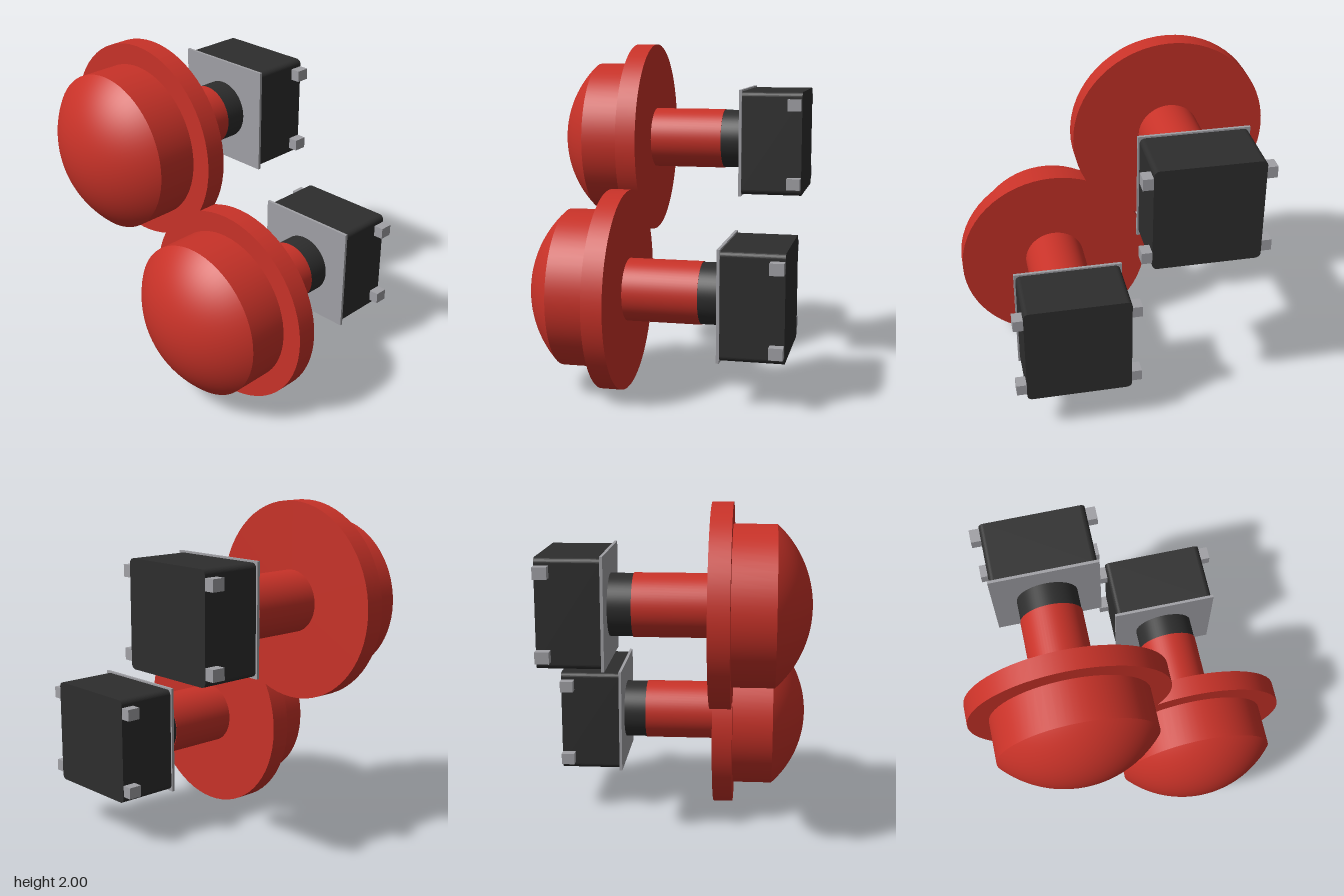
import * as THREE from 'three';

export function createModel() {
  const material = (name, color) => {
    const m = new THREE.MeshStandardMaterial({ color });
    m.name = name;
    return m;
  };
  const red = material('red plastic', 0xc83228);
  const black = material('black plastic', 0x2d2d2d);
  const grey = material('grey metal', 0xa0a0a5);

  const add = (group, name, geometry, mat) => {
    const mesh = new THREE.Mesh(geometry, mat);
    mesh.name = name;
    group.add(mesh);
    return mesh;
  };

  // cylinder lying along z, from z0 to z1
  const rod = (radius, z0, z1, open = false) =>
    new THREE.CylinderGeometry(radius, radius, z1 - z0, 64, 1, open)
      .rotateX(Math.PI / 2).translate(0, 0, (z0 + z1) / 2);

  // rectangle with rounded corners, extruded from z0 to z1
  const roundedBlock = (w, h, r, z0, z1) => {
    const x = w / 2 - r, y = h / 2 - r;
    const s = new THREE.Shape();
    s.absarc(x, y, r, 0, Math.PI / 2);
    s.absarc(-x, y, r, Math.PI / 2, Math.PI);
    s.absarc(-x, -y, r, Math.PI, Math.PI * 1.5);
    s.absarc(x, -y, r, Math.PI * 1.5, Math.PI * 2);
    return new THREE.ExtrudeGeometry(s, { depth: z1 - z0, bevelEnabled: false, curveSegments: 6 })
      .translate(0, 0, z0);
  };

  const createButton = (name, x, y) => {
    const button = new THREE.Group();
    button.name = name;
    button.position.set(x, y, 0);

    // push cap: straight wall closed by a shallow dome
    const capRadius = 0.4625, wallEnd = 0.555, rise = 0.205;
    const sphereRadius = (capRadius ** 2 + rise ** 2) / (2 * rise);
    add(button, 'capWall', rod(capRadius, 0.31, wallEnd, true), red);
    add(button, 'capDome',
      new THREE.SphereGeometry(sphereRadius, 64, 20, 0, Math.PI * 2, 0, Math.asin(capRadius / sphereRadius))
        .rotateX(Math.PI / 2).translate(0, 0, wallEnd + rise - sphereRadius), red);

    // flange and stem
    add(button, 'flange', rod(0.585, 0.19, 0.31), red);
    add(button, 'stem', rod(0.184, -0.25, 0.19), red);

    // switch behind the stem
    add(button, 'plunger', rod(0.18, -0.39, -0.25), black);
    add(button, 'facePlate', new THREE.BoxGeometry(0.636, 0.64, 0.017).translate(0, 0, -0.393), grey);
    add(button, 'switchBody', roundedBlock(0.616, 0.62, 0.03, -0.762, -0.4), black);

    // four contact pins on the sides
    for (const sx of [-1, 1]) {
      for (const sy of [-1, 1]) {
        const pin = add(button, 'contactPin', new THREE.BoxGeometry(0.09, 0.068, 0.08), grey);
        pin.position.set(sx * 0.322, sy * 0.234, -0.72);
      }
    }
    return button;
  };

  const model = new THREE.Group();
  model.name = 'pushButtons';
  model.add(createButton('upperButton', -0.361, 1.415), createButton('lowerButton', 0.361, 0.585));
  return model;
}
